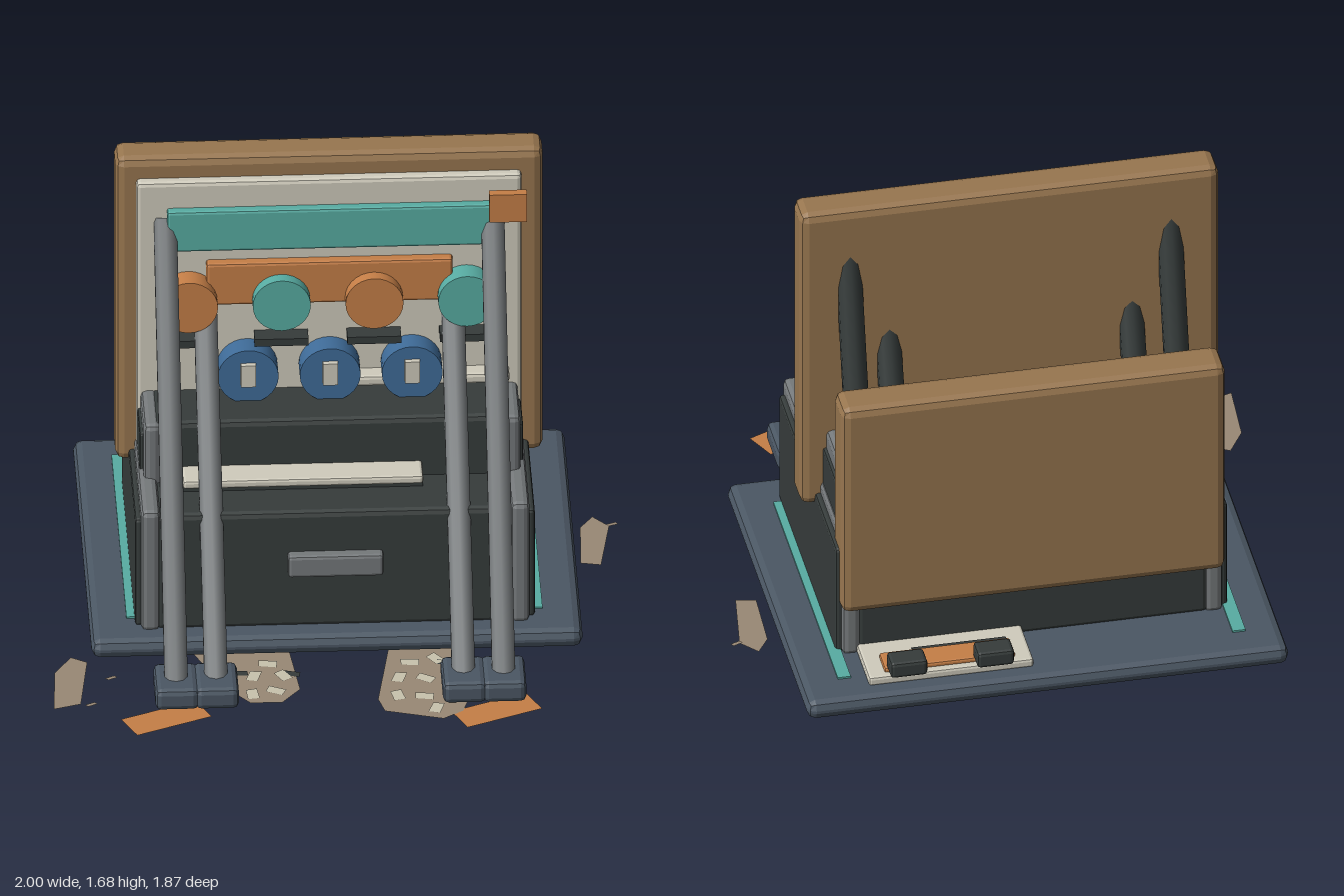
import * as THREE from 'three';
import { RoundedBoxGeometry } from 'three/addons/geometries/RoundedBoxGeometry.js';

const mat = (name, color, side = THREE.FrontSide) => {
  const m = new THREE.MeshStandardMaterial({ color, side });
  m.name = name;
  return m;
};

export function createModel() {
  const M = {
    wood: mat('wood', 0x98764f), cream: mat('cream', 0xd0ccbd), teal: mat('teal', 0x58ada3),
    orange: mat('orange', 0xc67f47, THREE.DoubleSide), blue: mat('blue', 0x3f6c99), slate: mat('slate', 0x4b5764),
    gray: mat('gray', 0x75797b), dark: mat('dark', 0x363c3b), tan: mat('tan', 0x998975, THREE.DoubleSide),
    chip: mat('pale chip', 0xc9c3ae, THREE.DoubleSide),
  };
  const root = new THREE.Group();
  root.name = 'machine';
  const CX = -0.01; // symmetry plane of the machine

  const add = (name, geo, material) => {
    const mesh = new THREE.Mesh(geo, material);
    mesh.name = name;
    root.add(mesh);
    return mesh;
  };
  // Box from its limits, with an optional chamfer
  const box = (name, m, x0, x1, y0, y1, z0, z1, bevel = 0) => {
    const s = [x1 - x0, y1 - y0, z1 - z0];
    let geo;
    if (bevel) {
      geo = new RoundedBoxGeometry(...s, 1, bevel);
      geo.computeVertexNormals(); // crisp chamfers
    } else geo = new THREE.BoxGeometry(...s);
    const mesh = add(name, geo, m);
    mesh.position.set((x0 + x1) / 2, (y0 + y1) / 2, (z0 + z1) / 2);
    return mesh;
  };
  // Disc whose axis runs along z
  const disc = (name, m, x, y, r, z0, z1) => {
    const geo = new THREE.CylinderGeometry(r, r, z1 - z0, 28).rotateX(Math.PI / 2);
    add(name, geo, m).position.set(x, y, (z0 + z1) / 2);
  };
  // Round bar between two points in a plane of constant x
  const bar = (name, m, x, [ya, za], [yb, zb], r) => {
    const a = new THREE.Vector3(x, ya, za), b = new THREE.Vector3(x, yb, zb);
    const mesh = add(name, new THREE.CylinderGeometry(r, r, a.distanceTo(b), 10), m);
    mesh.position.copy(a).add(b).multiplyScalar(0.5);
    mesh.quaternion.setFromUnitVectors(new THREE.Vector3(0, 1, 0), b.clone().sub(a).normalize());
  };
  // Flat sheet on the ground from [x, z] corners
  const sheet = (name, m, pts, y = 0.005) => {
    const shape = new THREE.Shape(pts.map(([x, z]) => new THREE.Vector2(x, -z)));
    add(name, new THREE.ShapeGeometry(shape).rotateX(-Math.PI / 2), m).position.y = y;
  };

  // Base plate with runners and trim
  box('basePlate', M.slate, -0.855, 0.84, 0.02, 0.09, -0.935, 0.45, 0.03);
  box('basePanel', M.dark, -0.74, 0.72, 0.013, 0.021, -0.84, 0.36);
  for (const s of [-1, 1]) {
    const x = CX + s * 0.61;
    box('runner', M.gray, x - 0.035, x + 0.035, 0, 0.025, -0.65, 0.13, 0.01);
    const t = CX + s * 0.695;
    box('baseStripe', M.teal, t - 0.023, t + 0.023, 0.085, 0.097, -0.8, 0.29);
  }

  // Lower and middle housing
  box('lowerBody', M.dark, -0.63, 0.61, 0.08, 0.54, -0.65, 0.36, 0.02);
  box('middleBody', M.dark, -0.63, 0.61, 0.5, 0.77, -0.56, 0.125, 0.02);
  for (const s of [-1, 1]) {
    const side = (name, m, a, b, ...rest) =>
      box(name, m, Math.min(CX + s * a, CX + s * b), Math.max(CX + s * a, CX + s * b), ...rest);
    side('lowerSidePlate', M.gray, 0.605, 0.67, 0.08, 0.56, -0.655, 0.37, 0.02);
    side('lowerSidePanel', M.dark, 0.65, 0.69, 0.085, 0.513, -0.63, 0.335, 0.012);
    side('middleSidePlate', M.gray, 0.59, 0.65, 0.5, 0.77, -0.56, 0.14, 0.02);
    side('middleSidePanel', M.dark, 0.63, 0.662, 0.5, 0.7, -0.56, 0.07, 0.01);
  }
  box('frontHandle', M.gray, -0.175, 0.155, 0.3, 0.385, 0.34, 0.4, 0.012);
  box('frontTray', M.cream, -0.53, 0.3, 0.565, 0.597, 0.1, 0.23, 0.01);
  box('trayShelf', M.dark, -0.53, 0.3, 0.53, 0.566, 0.1, 0.2);

  // Turntable and sheet on top of the housing
  const plate = add('turntable', new THREE.CylinderGeometry(0.235, 0.235, 0.025, 32), M.slate);
  plate.position.set(-0.33, 0.777, -0.33);
  const hub = add('turntableHub', new THREE.CylinderGeometry(0.08, 0.08, 0.025, 24), M.orange);
  hub.position.set(-0.345, 0.795, -0.34);
  box('topSheet', M.cream, 0.055, 0.61, 0.8, 0.84, -0.545, -0.04, 0.012);
  box('topSheetInset', M.cream, 0.11, 0.53, 0.838, 0.846, -0.47, -0.1);
  box('topSheetLine', M.dark, 0.12, 0.42, 0.842, 0.851, -0.435, -0.415);
  box('topSheetLine', M.dark, 0.13, 0.42, 0.842, 0.851, -0.295, -0.275);
  box('topSheetSupport', M.dark, 0.15, 0.5, 0.76, 0.805, -0.45, -0.3);

  // Upright boards
  box('mainBoard', M.wood, -0.745, 0.73, 0.465, 1.675, -0.28, -0.14, 0.03);
  box('rearBoard', M.wood, -0.685, 0.667, 0.27, 1.12, -0.68, -0.53, 0.03);
  box('facePanel', M.cream, -0.675, 0.655, 0.55, 1.6, -0.15, -0.1, 0.015);

  // Display on the face panel
  box('headerBar', M.teal, -0.57, 0.553, 1.34, 1.5, -0.11, -0.068, 0.01);
  box('cornerTag', M.orange, 0.54, 0.67, 1.45, 1.56, -0.068, -0.035);
  box('cornerTagMount', M.cream, 0.57, 0.64, 1.48, 1.53, -0.11, -0.066);
  box('middleBar', M.orange, -0.435, 0.415, 1.125, 1.29, -0.11, -0.065, 0.01);
  for (let i = 0; i < 4; i++) {
    const x = -0.497 + i * 0.32;
    disc('upperDisc', i % 2 ? M.teal : M.orange, x, 1.145, 0.1, -0.105, -0.02);
    box('labelDash', M.dark, x - 0.093, x + 0.093, 0.975, 1.003, -0.105, -0.035);
  }
  for (let i = 0; i < 3; i++) {
    const x = -0.293 + i * 0.283;
    disc('lowerDial', M.blue, x, 0.865, 0.105, -0.105, -0.017);
    box('dialMarker', M.cream, x - 0.026, x + 0.026, 0.835, 0.92, -0.02, 0.003);
  }

  // Leaning front legs with feet, and rear struts
  for (const s of [-1, 1]) {
    const outer = CX + s * 0.565, inner = CX + s * 0.427;
    bar('outerLeg', M.gray, outer, [0.06, 0.69], [1.45, -0.12], 0.042);
    bar('innerLeg', M.gray, inner, [0.06, 0.68], [1.12, -0.12], 0.042);
    bar('outerStrut', M.dark, outer, [0.7, -0.435], [1.5, -0.23], 0.045);
    bar('innerStrut', M.dark, inner, [0.7, -0.39], [1.17, -0.23], 0.045);
    for (const x of [outer, inner])
      box('foot', M.slate, x - 0.075, x + 0.075, 0.01, 0.09, 0.585, 0.787, 0.02);
  }

  // Control pad at the back
  box('rearPad', M.cream, 0.03, 0.61, 0.085, 0.12, -0.86, -0.62, 0.01);
  box('rearPadBar', M.orange, 0.09, 0.55, 0.115, 0.137, -0.835, -0.735, 0.008);
  box('rearPadLine', M.dark, 0.1, 0.43, 0.118, 0.127, -0.732, -0.715);
  for (const x of [0.17, 0.475]) box('rearKnob', M.dark, x - 0.065, x + 0.065, 0.13, 0.19, -0.895, -0.81, 0.012);

  // Loose scraps on the ground
  for (const x of [-0.615, 0.525])
    sheet('orangeSheet', M.orange, [[x - 0.157, 0.82], [x + 0.105, 0.705], [x + 0.157, 0.815], [x - 0.105, 0.93]], 0.003);
  sheet('rightScrap', M.tan, [[0.915, -0.46], [0.97, -0.395], [0.93, -0.135], [0.86, -0.15], [0.87, -0.39]]);
  sheet('leftScrap', M.tan, [[-0.925, 0.4], [-0.87, 0.435], [-0.905, 0.715], [-1, 0.745], [-0.985, 0.5]]);
  sheet('leftFrontScrap', M.tan, [[-0.5, 0.4], [-0.17, 0.4], [-0.145, 0.65], [-0.21, 0.735], [-0.32, 0.735], [-0.41, 0.62]]);
  sheet('rightFrontScrap', M.tan, [[0.17, 0.4], [0.45, 0.4], [0.47, 0.62], [0.41, 0.82], [0.34, 0.87], [0.14, 0.81], [0.12, 0.73]]);
  const shard = (m, x, z, a, w, h) => {
    const c = Math.cos(a), s = Math.sin(a);
    const quad = [[-w, -h * 0.6], [w * 0.8, -h], [w, h * 0.7], [-w * 0.7, h]];
    sheet('shard', m, quad.map(([u, v]) => [x + u * c - v * s, z + u * s + v * c]), 0.009);
  };
  for (const [x, z, a] of [[-0.25, 0.48, 0.3], [-0.2, 0.56, 1.2], [-0.3, 0.56, 2], [-0.23, 0.66, 0.6], [-0.31, 0.68, 1.6],
    [0.24, 0.49, 0.2], [0.33, 0.47, 1.1], [0.2, 0.59, 2], [0.29, 0.6, 0.7], [0.19, 0.71, 1.5], [0.28, 0.72, 0.3], [0.32, 0.8, 2]])
    shard(M.chip, x, z, a, 0.036, 0.024);
  for (const [x, z, a] of [[-0.17, 0.55, 0.4], [-0.35, 0.54, 0.1], [0.36, 0.5, 0.4], [0.45, 0.5, 0.2]])
    shard(M.dark, x, z, a, 0.032, 0.018);
  for (const [x, z, a] of [[-0.793, 0.55, -0.4], [-0.87, 0.725, -0.4], [0.98, -0.4, -0.3]])
    shard(M.tan, x, z, a, 0.021, 0.009);
  return root;
}
